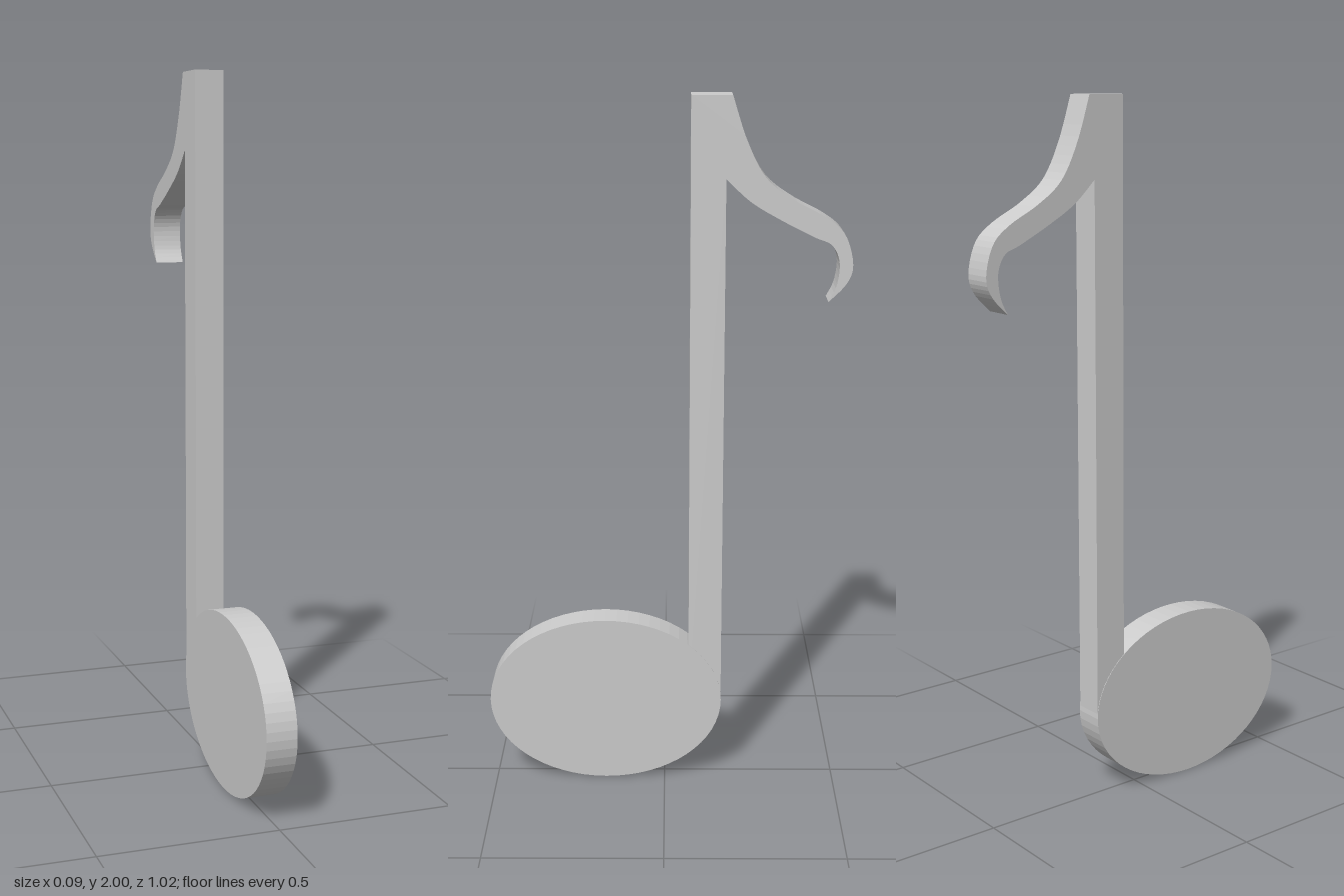
import * as THREE from 'three';

const material = new THREE.MeshStandardMaterial({ color: 0xcccccc });

// Extrude a side profile drawn in (z, y) so that its thickness lies along x
function slab(name, shape, thickness, curveSegments) {
  const geometry = new THREE.ExtrudeGeometry(shape, { depth: thickness, bevelEnabled: false, curveSegments });
  geometry.translate(0, 0, -thickness / 2);
  geometry.rotateY(-Math.PI / 2);
  const mesh = new THREE.Mesh(geometry, material);
  mesh.name = name;
  return mesh;
}

const points = (list) => list.map(([z, y]) => new THREE.Vector2(z, y));

export function createModel() {
  const group = new THREE.Group();
  group.name = 'musicalNote';

  // Oval note head
  const head = new THREE.Shape();
  head.absellipse(0.174, 0.252, 0.34, 0.252, 0, Math.PI * 2);
  group.add(slab('noteHead', head, 0.087, 32));

  // Straight stem flowing into the curled flag
  const stem = new THREE.Shape();
  stem.moveTo(-0.07, 0.25);
  stem.lineTo(-0.07, 2);
  stem.lineTo(-0.18, 2);
  stem.splineThru(points([
    [-0.22, 1.88], [-0.272, 1.783], [-0.346, 1.725], [-0.436, 1.677],
    [-0.488, 1.63], [-0.511, 1.55], [-0.495, 1.497], [-0.447, 1.447],
  ]));
  stem.splineThru(points([
    [-0.468, 1.492], [-0.474, 1.556], [-0.452, 1.603], [-0.405, 1.624],
    [-0.31, 1.672], [-0.23, 1.72], [-0.165, 1.78],
  ]));
  stem.lineTo(-0.165, 0.25);
  stem.closePath();
  group.add(slab('stemAndFlag', stem, 0.084, 4));

  return group;
}
